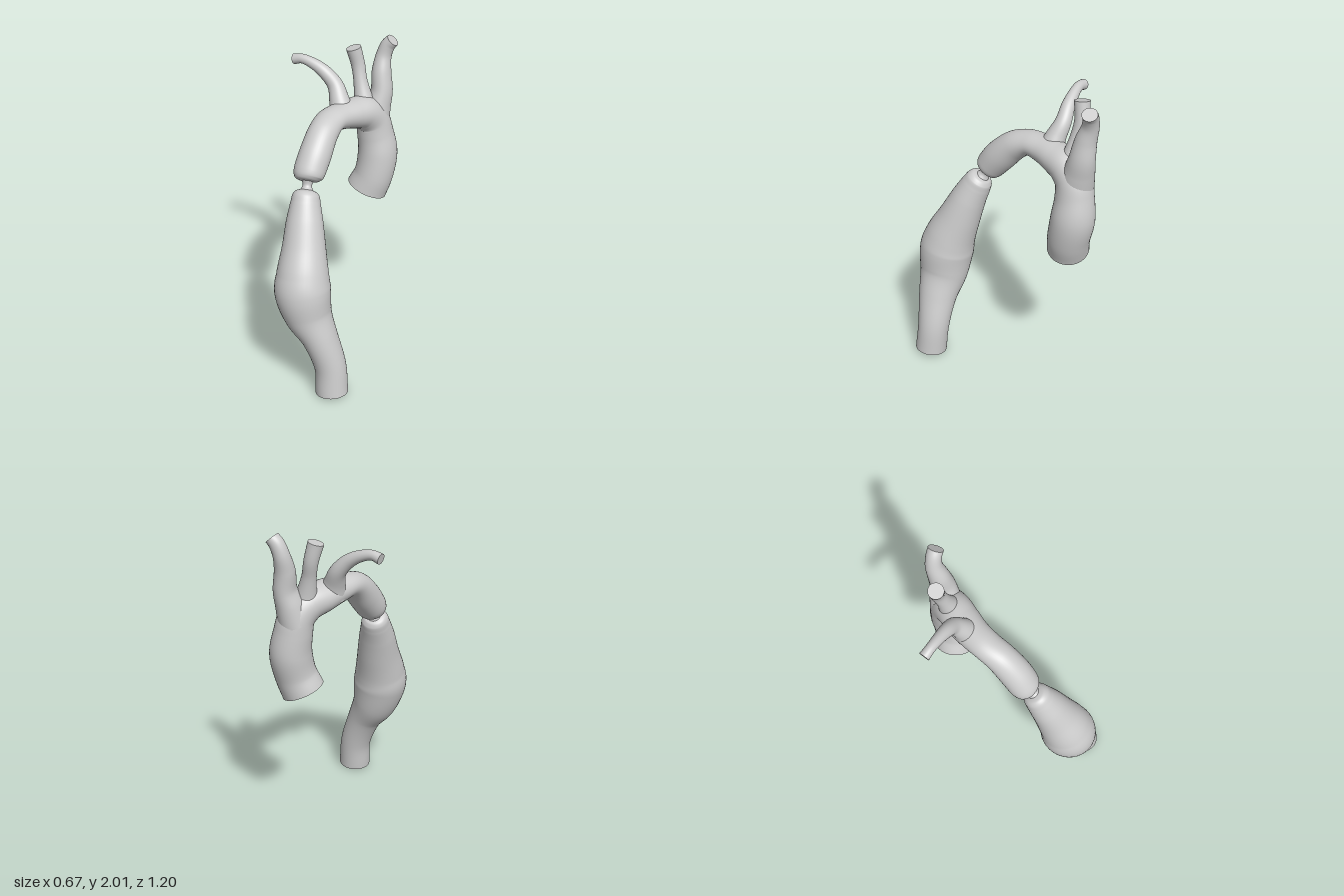
import * as THREE from 'three';

const SIDES = 40;
const STEPS = 8; // rings between two stations

// Sweeps a closed elliptical tube through stations [x, y, z, radius along ref, radius across].
function vessel(name, stations, ref = new THREE.Vector3(1, 0, 0)) {
  const path = new THREE.CatmullRomCurve3(stations.map(s => new THREE.Vector3(s[0], s[1], s[2])));
  const radii = new THREE.CatmullRomCurve3(
    stations.map(s => new THREE.Vector3(s[3], s[4] ?? s[3], 0)), false, 'catmullrom', 0.5);
  const rings = (stations.length - 1) * STEPS;
  const pos = [], index = [];

  const addRing = t => {
    const c = path.getPoint(t), r = radii.getPoint(t), dir = path.getTangent(t);
    const u = ref.clone().addScaledVector(dir, -ref.dot(dir)).normalize();
    const v = dir.clone().cross(u);
    for (let i = 0; i < SIDES; i++) {
      const a = (i / SIDES) * Math.PI * 2;
      const p = c.clone().addScaledVector(u, Math.cos(a) * r.x).addScaledVector(v, Math.sin(a) * r.y);
      pos.push(p.x, p.y, p.z);
    }
  };

  // Wall
  for (let k = 0; k <= rings; k++) addRing(k / rings);
  for (let k = 0; k < rings; k++) {
    for (let i = 0; i < SIDES; i++) {
      const j = (i + 1) % SIDES, a = k * SIDES, b = a + SIDES;
      index.push(a + i, a + j, b + i, a + j, b + j, b + i);
    }
  }
  // Flat cut ends with their own vertices, so the rims stay sharp
  for (const t of [0, 1]) {
    const start = pos.length / 3;
    addRing(t);
    const c = path.getPoint(t);
    pos.push(c.x, c.y, c.z);
    for (let i = 0; i < SIDES; i++) {
      const a = start + i, b = start + (i + 1) % SIDES, m = start + SIDES;
      if (t) index.push(m, a, b); else index.push(m, b, a);
    }
  }

  const geometry = new THREE.BufferGeometry();
  geometry.setAttribute('position', new THREE.Float32BufferAttribute(pos, 3));
  geometry.setIndex(index);
  geometry.computeVertexNormals();
  const mesh = new THREE.Mesh(geometry, new THREE.MeshStandardMaterial({ color: 0xcccccc }));
  mesh.name = name;
  return mesh;
}

export function createModel() {
  const group = new THREE.Group();
  group.name = 'artery';

  // Lower vessel with its bulge, closing to a domed top
  group.add(vessel('descendingVessel', [
    [0.123, 0.017, 0.488, 0.103, 0.103],
    [0.108, 0.2, 0.47, 0.1, 0.103],
    [0.038, 0.4, 0.457, 0.112, 0.126],
    [-0.04, 0.55, 0.435, 0.15, 0.158],
    [-0.076, 0.7, 0.422, 0.174, 0.176],
    [-0.082, 0.8, 0.396, 0.162, 0.164],
    [-0.088, 0.95, 0.334, 0.136, 0.136],
    [-0.098, 1.1, 0.271, 0.114, 0.112],
    [-0.104, 1.2, 0.222, 0.093, 0.095],
    [-0.106, 1.242, 0.2, 0.083, 0.084],
    [-0.106, 1.263, 0.188, 0.064, 0.064],
    [-0.106, 1.273, 0.182, 0.03, 0.03],
  ]));

  // Pinched passage between the two vessels
  group.add(vessel('narrowNeck', [
    [-0.106, 1.262, 0.185, 0.045],
    [-0.106, 1.293, 0.168, 0.028],
    [-0.106, 1.33, 0.148, 0.045],
  ]));

  // Arch, traced from the free lower end up and over to the pinch
  group.add(vessel('archVessel', [
    [0.143, 1.0, -0.43, 0.133, 0.13],
    [0.184, 1.1, -0.44, 0.126, 0.13],
    [0.203, 1.25, -0.465, 0.127, 0.134],
    [0.185, 1.38, -0.468, 0.117, 0.12],
    [0.165, 1.48, -0.455, 0.11, 0.112],
    [0.125, 1.545, -0.405, 0.11, 0.108],
    [0.06, 1.57, -0.32, 0.108, 0.095],
    [0.005, 1.585, -0.23, 0.098, 0.082],
    [-0.035, 1.588, -0.14, 0.094, 0.074],
    [-0.06, 1.545, -0.045, 0.095, 0.09],
    [-0.083, 1.45, 0.052, 0.1, 0.1],
    [-0.103, 1.365, 0.12, 0.098, 0.094],
    [-0.106, 1.335, 0.142, 0.088, 0.084],
    [-0.106, 1.32, 0.153, 0.066, 0.064],
    [-0.106, 1.312, 0.159, 0.025, 0.025],
  ]));

  // Three branches rising from the arch, flared at their roots
  group.add(vessel('sideBranch', [
    [0.01, 1.57, -0.27, 0.085],
    [-0.015, 1.66, -0.3, 0.064],
    [-0.05, 1.745, -0.335, 0.05],
    [-0.12, 1.82, -0.348, 0.042],
    [-0.2, 1.865, -0.363, 0.034],
    [-0.27, 1.882, -0.378, 0.03],
    [-0.325, 1.87, -0.394, 0.033],
  ], new THREE.Vector3(0, 0, 1)));

  group.add(vessel('middleBranch', [
    [0.13, 1.54, -0.42, 0.085],
    [0.108, 1.635, -0.435, 0.06],
    [0.085, 1.74, -0.453, 0.044],
    [0.065, 1.84, -0.47, 0.044],
    [0.037, 1.95, -0.463, 0.048],
  ]));

  group.add(vessel('frontBranch', [
    [0.17, 1.46, -0.47, 0.1, 0.11],
    [0.19, 1.56, -0.49, 0.086, 0.095],
    [0.212, 1.66, -0.508, 0.07, 0.08],
    [0.205, 1.78, -0.525, 0.062, 0.066],
    [0.212, 1.88, -0.55, 0.05, 0.052],
    [0.237, 1.95, -0.555, 0.046, 0.047],
    [0.267, 1.985, -0.553, 0.042, 0.047],
  ]));

  return group;
}
